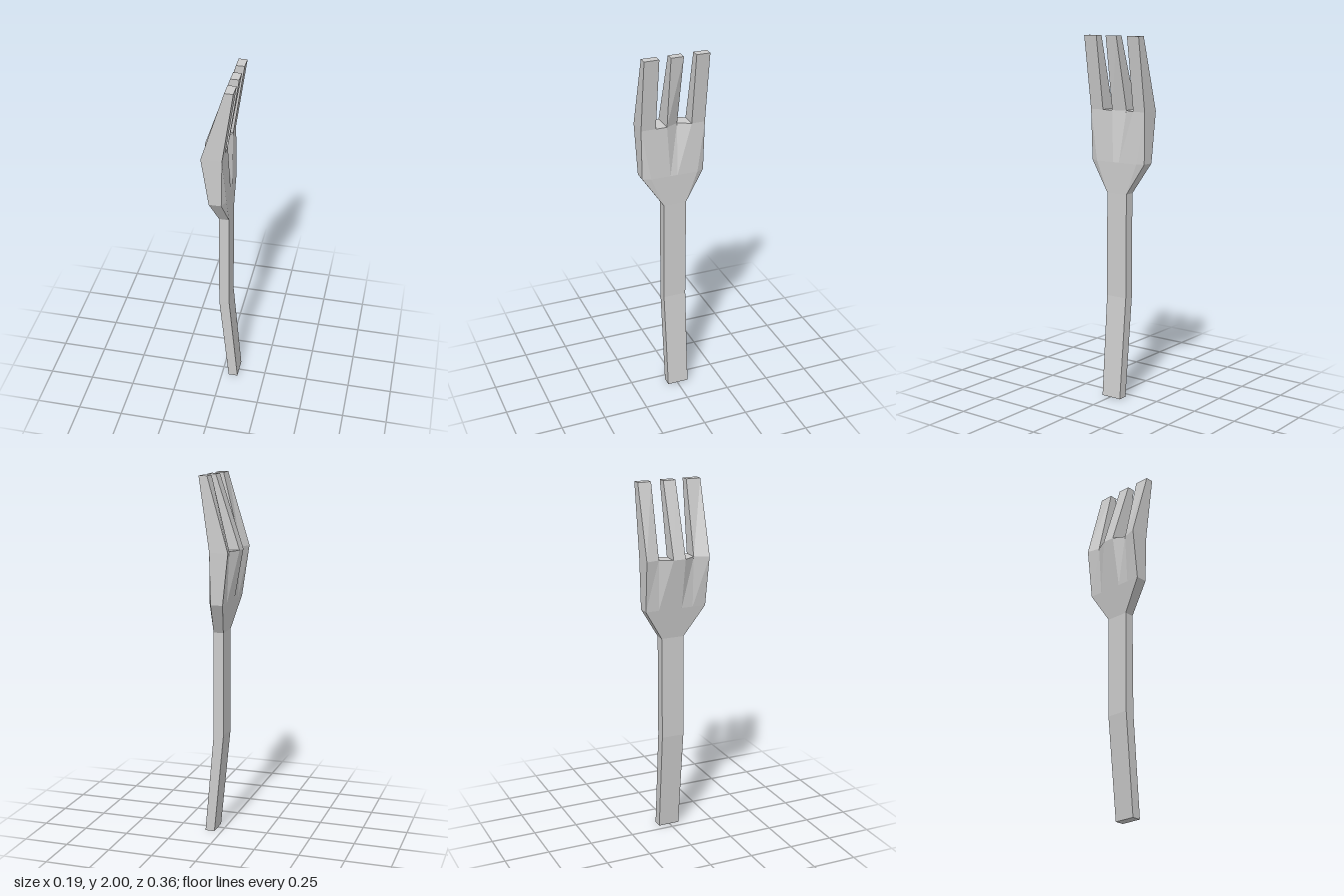
import * as THREE from 'three';

const material = new THREE.MeshStandardMaterial({ color: 0xcccccc, flatShading: true });

// Skins a stack of loops of [x, y, z] points, each counterclockwise seen from above.
// Caps are lists of extra loops to fill, already wound to face outward.
function loft(name, loops, caps = []) {
  const positions = [];
  const a = new THREE.Vector3(), b = new THREE.Vector3(), c = new THREE.Vector3();
  const tri = (p, q, r) => {
    a.fromArray(p); b.fromArray(q).sub(a); c.fromArray(r).sub(a);
    if (b.cross(c).length() > 1e-7) positions.push(...p, ...q, ...r);
  };
  for (let k = 0; k < loops.length - 1; k++) {
    const low = loops[k], high = loops[k + 1], n = low.length;
    for (let i = 0; i < n; i++) {
      const j = (i + 1) % n;
      tri(low[i], low[j], high[j]);
      tri(low[i], high[j], high[i]);
    }
  }
  for (const cap of caps) {
    for (let i = 1; i < cap.length - 1; i++) tri(cap[0], cap[i], cap[i + 1]);
  }
  const geometry = new THREE.BufferGeometry();
  geometry.setAttribute('position', new THREE.Float32BufferAttribute(positions, 3));
  geometry.computeVertexNormals();
  const mesh = new THREE.Mesh(geometry, material);
  mesh.name = name;
  return mesh;
}

// Four-cornered loop: x range at height y, z range
const rect = (y, xBack, xFront, zMin, zMax) => [
  [xFront, y, zMax], [xFront, y, zMin], [xBack, y, zMin], [xBack, y, zMax],
];

// Head loop from front points (z falling) and back points (z rising), each [x, z]
const section = (y, front, back) => [...front, ...back].map(([x, z]) => [x, y, z]);

export function createModel() {
  const group = new THREE.Group();
  group.name = 'fork';

  // Handle, kinked forward at its lower end
  const foot = rect(0, 0.04, 0.093, -0.065, 0.056);
  group.add(loft('handle', [
    foot,
    rect(0.57, -0.015, 0.042, -0.068, 0.061),
    rect(1.15, -0.015, 0.04, -0.07, 0.06),
  ], [[...foot].reverse()]));

  // Head: flares out from the handle, with chamfered shoulders and a dished front
  const neck = section(1.15,
    [0.06, 0.06, 0.04, 0.01, -0.01, -0.045, -0.07, -0.07].map((z) => [0.04, z]),
    [-0.07, -0.045, -0.015, 0.01, 0.04, 0.06].map((z) => [-0.015, z]));
  const shoulder = section(1.32,
    [[0.022, 0.175], [0.04, 0.13], [0.04, 0.08], [0.04, 0.02],
      [0.04, -0.02], [0.04, -0.09], [0.04, -0.135], [0.022, -0.175]],
    [-0.175, -0.1, -0.035, 0.035, 0.1, 0.175].map((z) => [-0.045, z]));
  const crown = section(1.6,
    [[0.027, 0.18], [0.027, 0.18], [0.027, 0.098], [0.027, 0.035],
      [-0.007, -0.035], [0.027, -0.105], [0.027, -0.18], [0.027, -0.18]],
    [[-0.076, -0.18], [-0.06, -0.105], [-0.095, -0.035],
      [-0.095, 0.035], [-0.06, 0.098], [-0.085, 0.18]]);

  // Matching [front, back] crown corners from +z to -z; tines and gaps alternate
  const columns = [[0, 13], [2, 12], [3, 11], [4, 10], [5, 9], [7, 8]]
    .map(([f, b]) => [crown[f], crown[b]]);
  const patch = (i) => [columns[i][0], columns[i + 1][0], columns[i + 1][1], columns[i][1]];
  group.add(loft('head', [neck, shoulder, crown], [patch(1), patch(3)]));

  // Tines, tapering up and forward from the crown
  ['leftTine', 'middleTine', 'rightTine'].forEach((name, i) => {
    const base = patch(i * 2);
    const tip = rect(2, 0.038, 0.084, base[1][2], base[0][2]);
    group.add(loft(name, [base, tip], [tip]));
  });

  return group;
}
